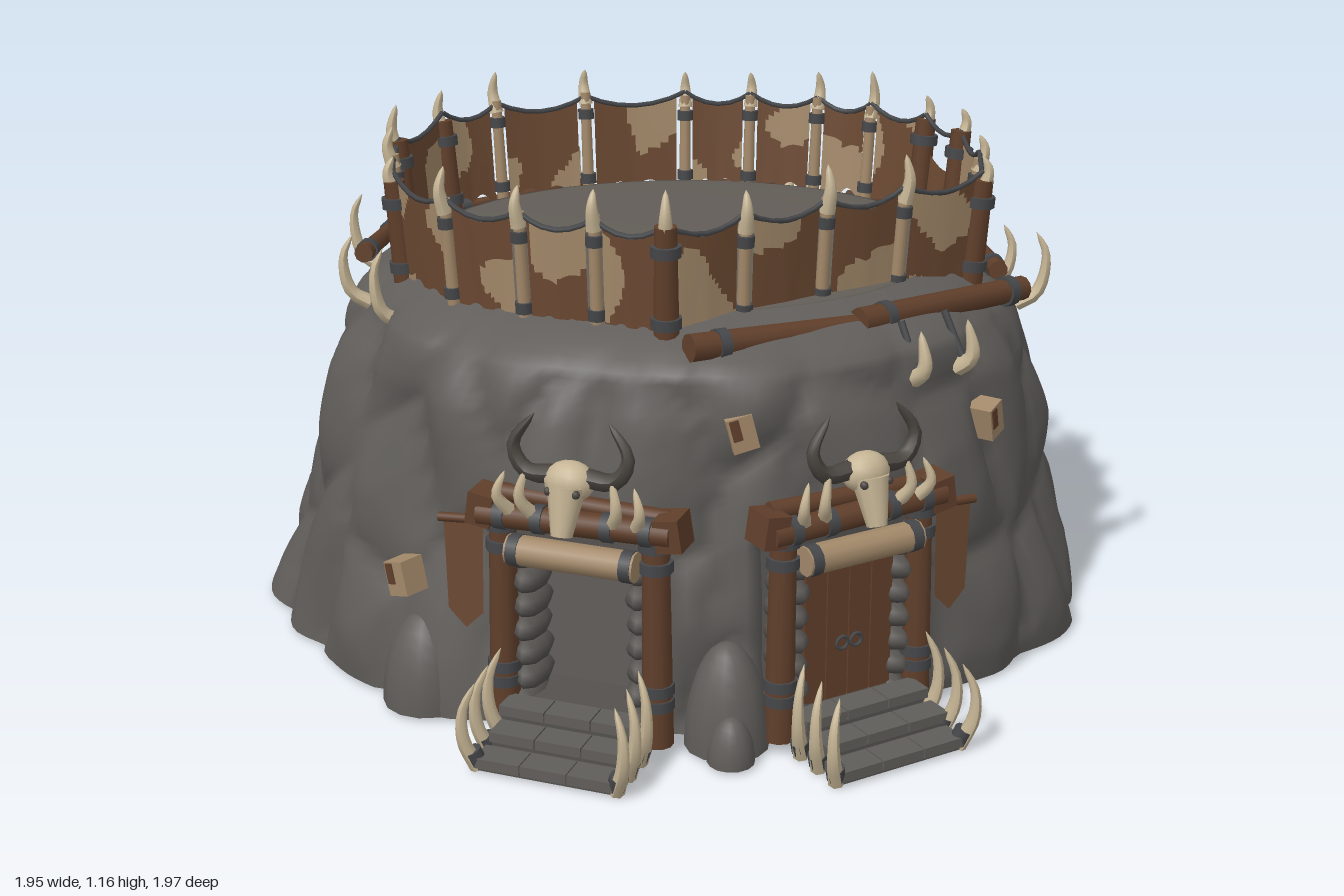
import * as THREE from 'three';

const mat = (name, color, side = THREE.FrontSide) => {
  const m = new THREE.MeshStandardMaterial({ color, side });
  m.name = name;
  return m;
};
const V = (x, y, z) => new THREE.Vector3(x, y, z);
const hash = (a, b) => { const s = Math.sin(a * 127.1 + b * 311.7) * 43758.5453; return s - Math.floor(s); };
const lerp = THREE.MathUtils.lerp, TAU = Math.PI * 2;
const DOOR = { x: 0.275, z: 0.7, turn: 0.44 };

export function createModel() {
  const rock = mat('rock', 0x605d5a), floorM = mat('floor earth', 0x625d57), stone = mat('dark stone', 0x54514e);
  const wood = mat('wood', 0x603f2b), plank = mat('door wood', 0x623f2a), bone = mat('bone', 0xc6b595);
  const leather = mat('leather', 0x6b4932, THREE.DoubleSide), hide = mat('tan hide', 0xa3896a, THREE.DoubleSide);
  const horn = mat('horn', 0x4a4540), rope = mat('rope', 0x46474a);
  const model = new THREE.Group();
  model.name = 'rockFort';

  const add = (parent, name, geo, m, x = 0, y = 0, z = 0) => {
    const mesh = new THREE.Mesh(geo, m);
    mesh.name = name;
    mesh.position.set(x, y, z);
    parent.add(mesh);
    return mesh;
  };
  const box = (p, name, m, w, h, d, x, y, z) => add(p, name, new THREE.BoxGeometry(w, h, d), m, x, y, z);
  // Cylinder between two points
  const bar = (p, name, m, a, b, r0, r1 = r0, sides = 10) => {
    const mesh = add(p, name, new THREE.CylinderGeometry(r1, r0, a.distanceTo(b), sides), m);
    mesh.position.copy(a).lerp(b, 0.5);
    mesh.quaternion.setFromUnitVectors(V(0, 1, 0), b.clone().sub(a).normalize());
    return mesh;
  };
  // Rope rings around a bar at fractions of its length
  const wrap = (p, a, b, r, fractions) => fractions.forEach(f => {
    const d = b.clone().sub(a).normalize().multiplyScalar(0.012), c = a.clone().lerp(b, f);
    bar(p, 'ropeWrap', rope, c.clone().sub(d), c.clone().add(d), r);
  });
  // Curved tube that narrows to a point
  const tusk = (p, name, m, pts, r) => {
    const curve = new THREE.CatmullRomCurve3(pts), seg = 10, sides = 7;
    const geo = new THREE.TubeGeometry(curve, seg, r, sides), pos = geo.attributes.position, v = V(0, 0, 0);
    for (let i = 0; i < pos.count; i++) {
      const t = Math.floor(i / (sides + 1)) / seg, c = curve.getPointAt(t);
      v.fromBufferAttribute(pos, i).sub(c).multiplyScalar(Math.sqrt(1.001 - t)).add(c);
      pos.setXYZ(i, v.x, v.y, v.z);
    }
    geo.computeVertexNormals();
    return add(p, name, geo, m);
  };

  // Rock mound: height, half width, back, front
  const prof = [[0, 0.945, -0.975, 0.73], [0.25, 0.88, -0.925, 0.72], [0.5, 0.815, -0.85, 0.71], [0.68, 0.77, -0.79, 0.7],
    [0.78, 0.72, -0.74, 0.68], [0.83, 0.66, -0.68, 0.6], [0.86, 0.6, -0.6, 0.5]];
  const cols = 22, N = 176, M = 44;
  // Tall rounded columns of stone
  const bulge = (th, y) => {
    const u = th / TAU * cols, v = y / 0.42 + 0.3;
    let f1 = 9, f2 = 9;
    for (let i = Math.floor(u) - 2; i <= Math.floor(u) + 2; i++) for (let j = Math.floor(v) - 2; j <= Math.floor(v) + 2; j++) {
      const k = (i + cols) % cols;
      const d = Math.hypot(u - i - 0.2 - 0.6 * hash(k, j), v - j - 0.1 - 0.8 * hash(k + 40, j));
      if (d < f1) { f2 = f1; f1 = d; } else if (d < f2) f2 = d;
    }
    return Math.sqrt(Math.min(1, (f2 - f1) * 1.2 + 0.03)) * 0.055 - 0.025 + 0.012 * Math.sin(th * 7 + y * 9);
  };
  const pos = [], idx = [];
  for (let j = 0; j <= M; j++) {
    const y = 0.86 * j / M;
    let k = 0;
    while (k < prof.length - 2 && y > prof[k + 1][0]) k++;
    const t = (y - prof[k][0]) / (prof[k + 1][0] - prof[k][0]);
    const [rx, zb, zf] = [1, 2, 3].map(c => lerp(prof[k][c], prof[k + 1][c], t));
    for (let i = 0; i < N; i++) {
      const th = i / N * TAU, fade = THREE.MathUtils.clamp((0.85 - y) / 0.12, 0, 1), b = bulge(th, y) * fade;
      let x = Math.sin(th) * (rx + b), z = (zb + zf) / 2 + Math.cos(th) * ((zf - zb) / 2 + b);
      // Carve a recess behind each doorway
      for (const s of [-1, 1]) {
        const dx = x - s * DOOR.x, dz = z - DOOR.z, sn = Math.sin(s * DOOR.turn), cs = Math.cos(DOOR.turn);
        const lx = dx * cs - dz * sn, lz = dx * sn + dz * cs;
        if (Math.abs(lx) < 0.155 && y < 0.43 && lz > -0.13) { x -= (lz + 0.13) * sn; z -= (lz + 0.13) * cs; }
      }
      pos.push(x, y, z);
      if (j < M) {
        const a = j * N + i, c = j * N + (i + 1) % N;
        idx.push(a, c, c + N, a, c + N, a + N);
      }
    }
  }
  const mound = new THREE.BufferGeometry();
  mound.setAttribute('position', new THREE.Float32BufferAttribute(pos, 3));
  mound.setIndex(idx);
  mound.computeVertexNormals();
  add(model, 'rockMound', mound, rock);
  const outline = new THREE.Shape(Array.from({ length: N }, (_, i) => new THREE.Vector2(pos[i * 3], pos[i * 3 + 2])));
  add(model, 'moundBase', new THREE.ShapeGeometry(outline), rock).rotation.x = Math.PI / 2;

  // Upper floor
  const top = add(model, 'upperFloor', new THREE.SphereGeometry(1, 48, 6, 0, TAU, 0, Math.PI / 2), floorM, 0, 0.855, -0.05);
  top.scale.set(0.615, 0.015, 0.555);

  // Boulders at the foot
  [[0.02, 0.76, 0.09, 0.23], [-0.6, 0.5, 0.1, 0.21], [0.02, 0.84, 0.05, 0.1]]
    .forEach(([x, z, r, h]) => add(model, 'boulder', new THREE.SphereGeometry(1, 14, 8, 0, TAU, 0, Math.PI / 2), rock, x, 0, z).scale.set(r, h, r));

  // Bone chips lodged in the rock
  [[0.05, 0.67, 0.69, 0.1], [0.61, 0.585, 0.44, 0.9], [-0.64, 0.3, 0.52, -0.8]].forEach(([x, y, z, a]) => {
    const g = new THREE.Group();
    g.name = 'boneChip';
    g.position.set(x, y, z);
    g.rotation.set(0, a, 0.25);
    box(g, 'chip', hide, 0.055, 0.075, 0.06, 0, 0, 0);
    box(g, 'chipHole', wood, 0.02, 0.045, 0.062, -0.012, 0.012, 0.002);
    model.add(g);
  });

  // Fence posts in ring order; third value: 1 is a timber post, 2 also has a lowered panel after it
  const ring = [[-0.09, 0.57, 1], [0.08, 0.49], [0.26, 0.4], [0.44, 0.31], [0.63, 0.2, 1], [0.66, 0.02], [0.66, -0.18, 2],
    [0.61, -0.35, 1], [0.5, -0.48], [0.38, -0.56], [0.22, -0.62], [0.06, -0.65], [-0.19, -0.62], [-0.41, -0.56],
    [-0.54, -0.47, 1], [-0.64, -0.21, 2], [-0.645, -0.06], [-0.64, 0.1, 1], [-0.53, 0.32], [-0.38, 0.44], [-0.23, 0.51]];
  const fence = new THREE.Group();
  fence.name = 'fence';
  model.add(fence);
  ring.forEach(([x, z, kind], i) => {
    const h = 1.05 + 0.03 * hash(i, 3), r = kind ? 0.028 : 0.015;
    const a = V(x * 0.98, 0.81, z * 0.98), b = V(x * 1.01, h, z * 1.01);
    bar(fence, 'fencePost', kind ? wood : hide, a, b, r, r * 0.85);
    wrap(fence, a, b, r + 0.005, [0.2, 0.8]);
    const tip = h + 0.05 + 0.04 * hash(i, 5);
    tusk(fence, 'postTusk', bone, [V(b.x, h - 0.03, b.z), V(x * 1.03, h + 0.02, z * 1.03), V(x * 1.01, tip, z * 1.01)], 0.018);

    // Patched hide panel stretched to the next post
    const [x2, z2] = ring[(i + 1) % ring.length], U = 20, W = 14;
    const p = [], parts = [[], []], len = Math.hypot(x2 - x, z2 - z), side = 0.012 / len + 0.04;
    for (let j = 0; j <= W; j++) for (let k = 0; k <= U; k++) {
      const u = lerp(side, 1 - side, k / U), v = j / W, sag = Math.sin(Math.PI * u);
      const y = lerp(0.83 + 0.022 * sag * Math.abs(Math.cos(u * 9)), (kind === 2 ? 0.99 : 1.075) - 0.04 * sag, v);
      const o = 0.985 + 0.025 * v + 0.012 * sag;
      p.push(lerp(x, x2, u) * o, y, lerp(z, z2, u) * o);
      if (j < W && k < U) {
        const q = j * (U + 1) + k, s = i * 2.3 + u * len * 20, w = v * 4;
        const patch = Math.sin(s + Math.sin(w + i)) + Math.sin(w + s * 0.5 + i * 2) > 0.3 ? 1 : 0;
        parts[patch].push(q, q + 1, q + U + 2, q, q + U + 2, q + U + 1);
      }
    }
    const geo = new THREE.BufferGeometry();
    geo.setAttribute('position', new THREE.Float32BufferAttribute(p, 3));
    geo.setIndex([...parts[0], ...parts[1]]);
    geo.addGroup(0, parts[0].length, 0);
    geo.addGroup(parts[0].length, parts[1].length, 1);
    geo.computeVertexNormals();
    add(fence, 'hidePanel', geo, [leather, hide]);
    const mid = V((x + x2) / 2 * 1.02, 1.01, (z + z2) / 2 * 1.02);
    const line = new THREE.QuadraticBezierCurve3(V(x * 1.01, 1.07, z * 1.01), mid, V(x2 * 1.01, 1.07, z2 * 1.01));
    add(fence, 'fenceRope', new THREE.TubeGeometry(line, 6, 0.006, 5), rope);
  });

  // Logs lashed along the rim: x, z of both ends and radius
  [[-0.05, 0.64, 0.4, 0.45, 0.03], [0.32, 0.5, 0.73, 0.23, 0.03], [0.69, 0.16, 0.69, -0.2, 0.022], [0.68, -0.36, 0.47, -0.59, 0.014],
    [0.3, -0.66, -0.1, -0.7, 0.014], [-0.2, -0.69, -0.53, -0.55, 0.014], [-0.73, -0.1, -0.67, -0.38, 0.022]].forEach(([x, z, x2, z2, r]) => {
    const a = V(x, 0.83, z), b = V(x2, 0.81, z2);
    bar(model, 'rimLog', wood, a, b, r, r * 0.9);
    wrap(model, a, b, r + 0.004, [0.15, 0.9]);
  });

  // Tusks curving out from the rim
  [[0.33, -0.74], [0.1, -0.75], [-0.2, -0.72], [-0.72, -0.24], [-0.73, 0.06], [-0.66, 0.21], [0.75, 0.19],
    [0.71, 0.05], [0.72, -0.36]].forEach(([x, z], i) => {
    const h = 0.86 + 0.05 * hash(i, 8);
    tusk(model, 'rimTusk', bone, [V(x * 0.97, 0.76, z * 0.97), V(x * 1.03, 0.79, z * 1.03), V(x * 1.05, h - 0.02, z * 1.05), V(x * 1.02, h + 0.03, z * 1.02)], 0.018);
  });
  // Hanging tusks on the front right and back
  [[0.43, 0.53], [0.54, 0.46], [-0.3, -0.72]].forEach(([x, z]) => {
    tusk(model, 'hangingTusk', bone, [V(x, 0.71, z), V(x * 1.05, 0.74, z * 1.05), V(x * 1.03, 0.82, z * 1.03)], 0.021);
    bar(model, 'hangingRope', rope, V(x * 1.02, 0.73, z * 1.02), V(x * 0.95, 0.83, z * 0.95), 0.008);
  });

  // Doorways; s is the side, and the +x one has closed doors
  for (const s of [-1, 1]) {
    const g = new THREE.Group();
    g.name = s > 0 ? 'leftDoorway' : 'rightDoorway';
    g.position.set(s * DOOR.x, 0, DOOR.z);
    g.rotation.y = s * DOOR.turn;
    model.add(g);
    // Steps of stone slabs
    for (let k = 0; k < 3; k++) {
      const d = 0.22 - k * 0.065;
      box(g, 'stepCore', stone, 0.29, 0.025 * (k + 1), d + 0.1, 0, 0.0125 * (k + 1), (d - 0.1) / 2 - 0.004);
      for (let c = 0; c < 3; c++) box(g, 'stepSlab', rock, 0.1, 0.022, 0.062, (c - 1) * 0.103 + (k % 2) * 0.006, 0.028 * (k + 1) - 0.011, d - 0.031);
    }
    // Stone jambs, back wall and doors
    for (const e of [-1, 1]) for (let k = 0; k < 7; k++) {
      const st = add(g, 'jambStone', new THREE.SphereGeometry(1, 8, 6), stone, e * (0.122 + 0.01 * hash(k, e + s)), 0.06 + k * 0.055, -0.03);
      st.scale.set(0.036, 0.031, 0.07);
    }
    box(g, 'doorwayBack', rock, 0.3, 0.42, 0.02, 0, 0.23, -0.11);
    if (s > 0) for (let k = 0; k < 4; k++) {
      box(g, 'doorPlank', plank, 0.052, 0.34, 0.02, (k - 1.5) * 0.055, 0.24, 0.0);
      if (k % 3) add(g, 'doorRing', new THREE.TorusGeometry(0.014, 0.004, 6, 12), rope, (k - 1.5) * 0.035, 0.2, 0.014);
    }
    // Timber frame
    for (const e of [-1, 1]) {
      const a = V(e * 0.172, 0.02, 0.015), b = V(e * 0.168, 0.49, 0.015);
      bar(g, 'doorPost', wood, a, b, 0.033, 0.028);
      wrap(g, a, b, 0.036, [0.2, 0.27, 0.85, 0.95]);
      box(g, 'lintelBlock', wood, 0.055, 0.07, 0.075, e * 0.205, 0.5, 0.015).rotation.z = e * 0.15;
    }
    bar(g, 'lintelLog', wood, V(-0.21, 0.49, 0.035), V(0.21, 0.5, 0.035), 0.027);
    bar(g, 'lintelLog', wood, V(-0.19, 0.525, -0.005), V(0.19, 0.515, -0.005), 0.02);
    wrap(g, V(-0.21, 0.49, 0.035), V(0.21, 0.5, 0.035), 0.031, [0.12, 0.32, 0.68, 0.88]);
    box(g, 'lintelFill', stone, 0.32, 0.12, 0.09, 0, 0.45, -0.06);
    bar(g, 'hideRoll', hide, V(-0.14, 0.425, 0.05), V(0.14, 0.425, 0.05), 0.032);
    wrap(g, V(-0.14, 0.425, 0.05), V(0.14, 0.425, 0.05), 0.034, [0.06, 0.94]);
    // Side banner
    const flag = new THREE.Shape([[0, 0], [0.09, 0], [0.085, -0.21], [0.045, -0.25], [0.005, -0.21]].map(q => new THREE.Vector2(q[0] * s, q[1])));
    add(g, 'banner', new THREE.ShapeGeometry(flag), leather, s * 0.215, 0.46, 0.01);
    bar(g, 'bannerRod', wood, V(s * 0.18, 0.465, 0.01), V(s * 0.315, 0.455, 0.01), 0.01);
    // Horned skull
    const skull = new THREE.Group();
    skull.name = 'skull';
    skull.position.set(0, 0.575, 0.06);
    skull.rotation.x = -0.25;
    g.add(skull);
    add(skull, 'cranium', new THREE.SphereGeometry(1, 14, 10), bone, 0, 0.02, 0).scale.set(0.054, 0.043, 0.04);
    bar(skull, 'snout', bone, V(0, -0.09, 0.02), V(0, 0.01, 0.015), 0.022, 0.04);
    for (const e of [-1, 1]) {
      add(skull, 'eyeSocket', new THREE.SphereGeometry(0.009, 8, 6), horn, e * 0.03, 0.0, 0.037);
      tusk(skull, 'skullHorn', horn, [V(e * 0.03, 0.03, 0), V(e * 0.095, 0.03, 0), V(e * 0.125, 0.08, 0.01), V(e * 0.08, 0.15, 0.02)], 0.022);
      for (let k = 0; k < 2; k++) {
        const x = e * (0.085 + k * 0.05);
        tusk(g, 'lintelTusk', bone, [V(x, 0.5, 0.04), V(x + e * 0.02, 0.55, 0.07), V(x + e * 0.005, 0.62 - k * 0.02, 0.06)], 0.016);
      }
      // Rib tusks beside the steps
      for (let k = 0; k < 3; k++) {
        const x = e * 0.152, z = 0.07 + k * 0.065, h = 0.21 - k * 0.01;
        tusk(g, 'stepTusk', bone, [V(x, 0, z), V(x + e * 0.022, h * 0.35, z + 0.02), V(x + e * 0.022, h * 0.7, z + 0.02), V(x, h, z + 0.005)], 0.018);
        bar(g, 'tuskLashing', rope, V(x, 0.01, z), V(x + e * 0.01, 0.04, z + 0.008), 0.02);
      }
    }
  }
  return model;
}
